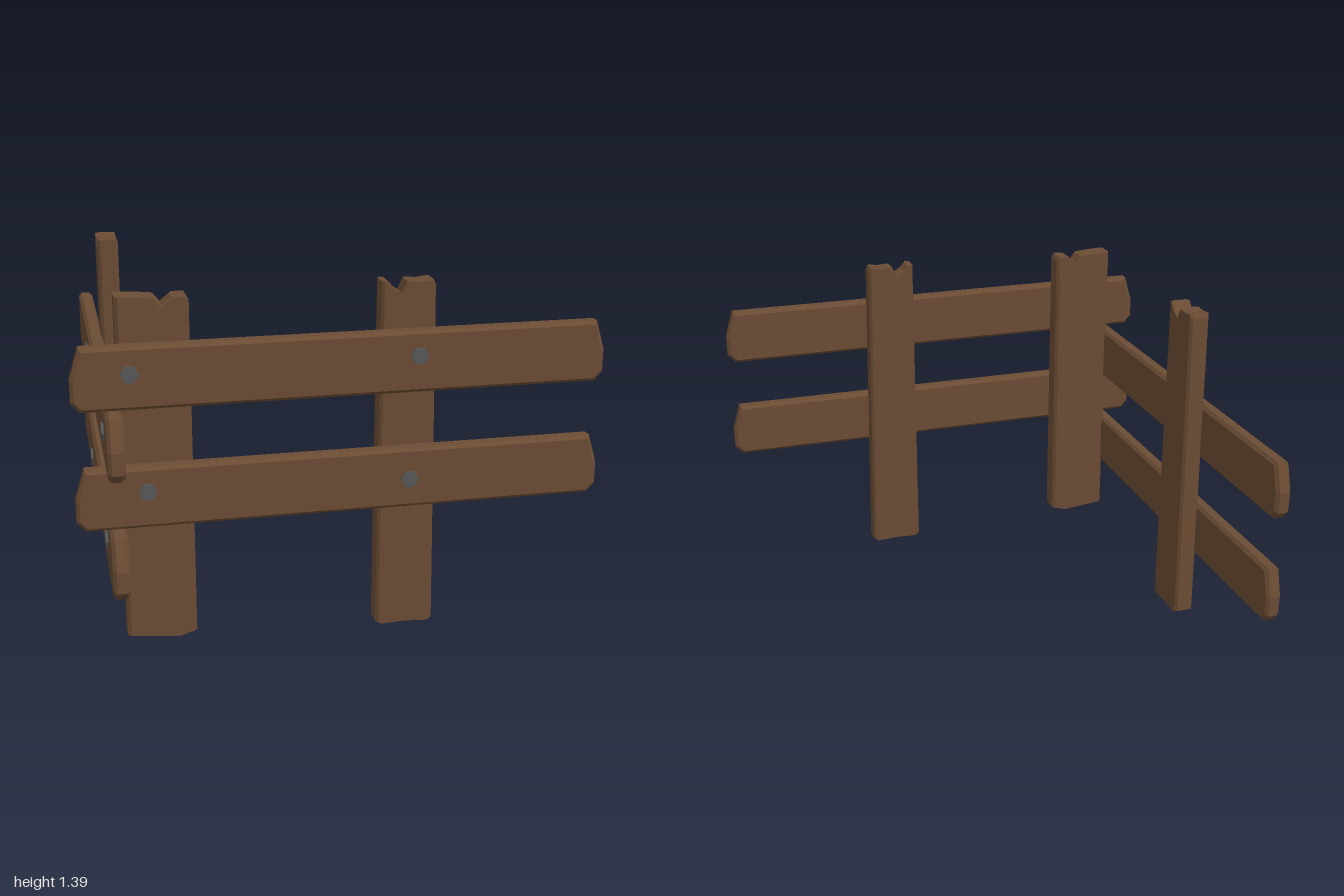
import * as THREE from 'three';

const wood = new THREE.MeshStandardMaterial({ color: 0x6b4c34 });
wood.name = 'brown wood';
const iron = new THREE.MeshStandardMaterial({ color: 0x55585a });
iron.name = 'grey iron';

// Plank cut from an outline, with bevelled edges, spanning z0..z1
function plank(name, points, z0, z1, bevel, fullEnds = false) {
  const shape = new THREE.Shape(points.map(([x, y]) => new THREE.Vector2(x, y)));
  const geo = new THREE.ExtrudeGeometry(shape, {
    depth: z1 - z0 - 2 * bevel, bevelEnabled: true, bevelSegments: 1,
    bevelSize: bevel, bevelThickness: bevel, bevelOffset: -bevel,
  });
  geo.translate(0, 0, z0 + bevel);
  if (fullEnds) {
    // Stretch both faces back to full height so only the long edges stay bevelled
    const pos = geo.attributes.position;
    const ys = points.map((p) => p[1]);
    const low = Math.min(...ys), high = Math.max(...ys);
    const mid = (low + high) / 2, stretch = (high - low) / (high - low - 2 * bevel);
    for (let i = 0; i < pos.count; i++) {
      const z = pos.getZ(i);
      if (z < z0 + bevel / 2 || z > z1 - bevel / 2) pos.setY(i, mid + (pos.getY(i) - mid) * stretch);
    }
    geo.computeVertexNormals();
  }
  const mesh = new THREE.Mesh(geo, wood);
  mesh.name = name;
  return mesh;
}

// Horizontal rail with clipped ends
function rail(name, bottom) {
  const top = bottom + 0.236;
  const half = [[0.968, bottom], [1, bottom + 0.035], [1, bottom + 0.12], [0.965, top]];
  const other = half.map(([x, y]) => [-x, y]).reverse();
  return plank(name, [...half, ...other], 0.822, 0.885, 0.013);
}

// Hexagonal bolt head on the outer face of a rail
function bolt(x, y) {
  const geo = new THREE.CylinderGeometry(0.034, 0.034, 0.02, 6, 1, false, Math.PI / 2).toNonIndexed();
  geo.computeVertexNormals();
  geo.rotateX(Math.PI / 2);
  const mesh = new THREE.Mesh(geo, iron);
  mesh.name = 'bolt';
  mesh.position.set(x, y, 0.884);
  return mesh;
}

// Outlines of the weathered posts
const middlePost = [
  [0.14, 0.014], [0.165, 0.004], [0.255, 0.008], [0.35, 0.002], [0.37, 0.014],
  [0.347, 1.365], [0.338, 1.386], [0.29, 1.38], [0.237, 1.384], [0.217, 1.34],
  [0.185, 1.362], [0.165, 1.386], [0.14, 1.388],
];
const cornerPost = [
  [-0.83, 0.056], [-0.70, 0.042], [-0.635, 0.036], [-0.565, 0.055],
  [-0.565, 1.35], [-0.575, 1.368], [-0.625, 1.366], [-0.662, 1.336],
  [-0.685, 1.365], [-0.735, 1.37], [-0.83, 1.375],
];

// One run of fence: two rails, their bolts and a middle post
function panel(name, drop, side) {
  const group = new THREE.Group();
  group.name = name;
  group.add(rail('upperRail', 0.975 - drop), rail('lowerRail', 0.52 - drop));
  for (const [x, y] of [[-0.79, 1.11], [0.272, 1.117], [-0.74, 0.662], [0.245, 0.635]]) {
    group.add(bolt(x * side, y - drop));
  }
  const outline = middlePost.map(([x, y]) => [x * side, y]);
  group.add(plank('middlePost', outline, 0.742, 0.826, 0.011, true));
  return group;
}

export function createModel() {
  const model = new THREE.Group();
  model.name = 'cornerFence';
  const sidePanel = panel('sidePanel', 0.236, -1);
  sidePanel.rotation.y = -Math.PI / 2;
  model.add(panel('frontPanel', 0, 1), sidePanel);
  model.add(plank('cornerPost', cornerPost, 0.728, 0.826, 0.013, true));
  return model;
}
